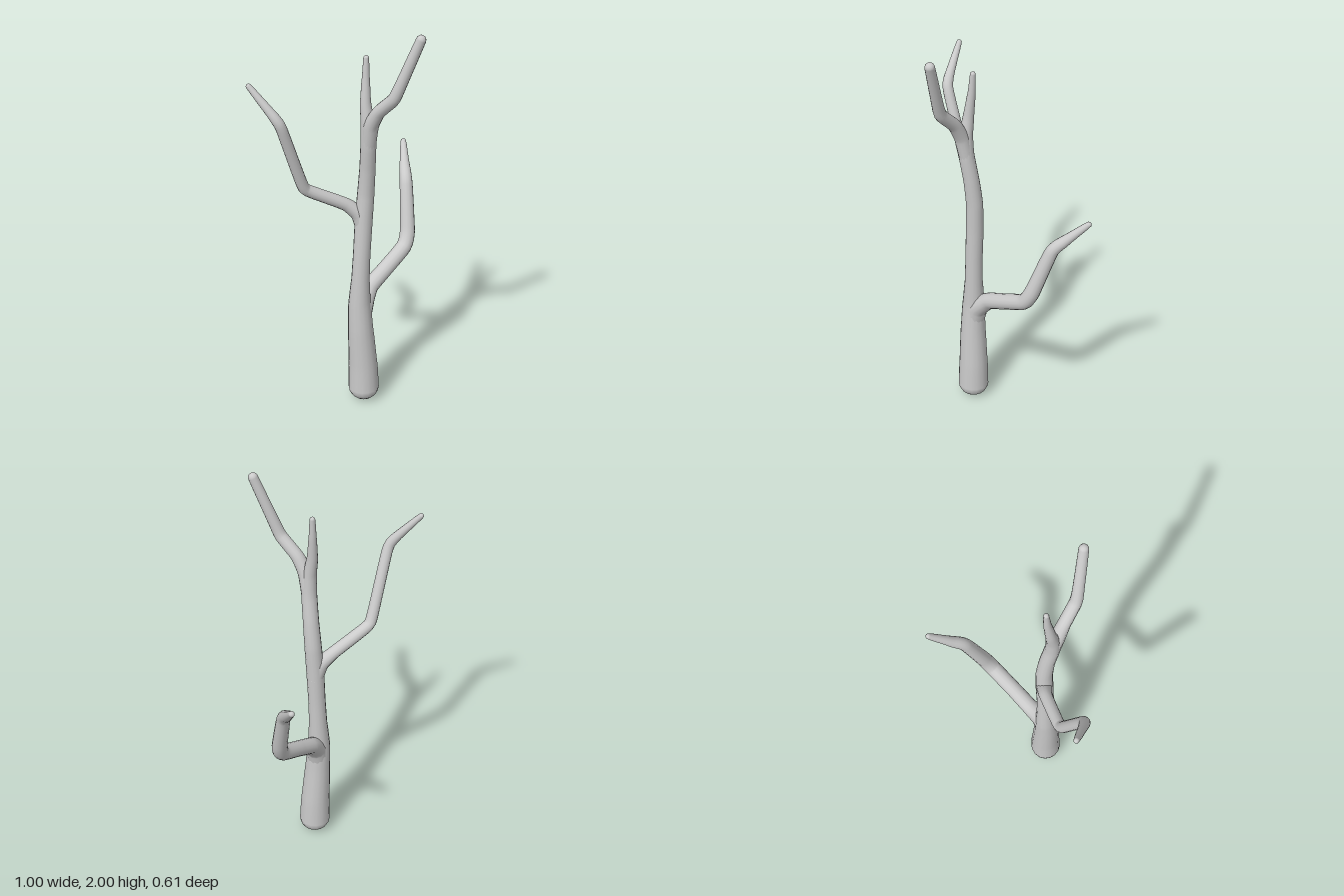
import * as THREE from 'three';

const material = new THREE.MeshStandardMaterial({ color: 0xcccccc });

// Tapered limb along points of [x, y, z, radius], with a rounded tip
function limb(name, points, segments, sides) {
  const group = new THREE.Group();
  group.name = name;
  const curve = new THREE.CatmullRomCurve3(
    points.map(([x, y, z]) => new THREE.Vector3(x, y, z)), false, 'catmullrom', 0.28);
  const geometry = new THREE.TubeGeometry(curve, segments, 1, sides);
  const pos = geometry.attributes.position;
  const normal = geometry.attributes.normal;
  const v = new THREE.Vector3();

  // Scale each ring to its interpolated radius
  for (let i = 0; i <= segments; i++) {
    const centre = curve.getPointAt(i / segments);
    const t = curve.getUtoTmapping(i / segments) * (points.length - 1);
    const k = Math.min(Math.floor(t), points.length - 2);
    const radius = THREE.MathUtils.lerp(points[k][3], points[k + 1][3], t - k);
    for (let j = 0; j <= sides; j++) {
      const n = i * (sides + 1) + j;
      v.fromBufferAttribute(normal, n).multiplyScalar(radius).add(centre);
      pos.setXYZ(n, v.x, v.y, v.z);
    }
  }
  const wood = new THREE.Mesh(geometry, material);
  wood.name = name + 'Wood';
  group.add(wood);

  const [x, y, z, r] = points[points.length - 1];
  const tip = new THREE.Mesh(new THREE.SphereGeometry(r, 12, 8), material);
  tip.name = name + 'Tip';
  tip.position.set(x, y, z);
  group.add(tip);
  return group;
}

export function createModel() {
  const model = new THREE.Group();
  model.name = 'bareTree';

  // Trunk, bending gently and thinning into the top twig
  model.add(limb('trunk', [
    [-0.025, 0.07, -0.008, 0.077],
    [-0.027, 0.2, -0.01, 0.073],
    [-0.037, 0.4, -0.015, 0.063],
    [-0.04, 0.55, -0.02, 0.056],
    [-0.036, 0.68, -0.018, 0.045],
    [-0.03, 0.82, -0.015, 0.042],
    [-0.02, 1.0, -0.012, 0.043],
    [-0.012, 1.15, -0.005, 0.041],
    [-0.015, 1.28, 0.01, 0.038],
    [-0.026, 1.42, 0.03, 0.037],
    [-0.03, 1.52, 0.03, 0.033],
    [-0.03, 1.62, 0.015, 0.026],
    [-0.02, 1.74, 0.005, 0.018],
    [-0.015, 1.832, 0.002, 0.013],
  ], 60, 16));

  // Rounded foot of the trunk
  const foot = new THREE.Mesh(new THREE.SphereGeometry(0.077, 16, 10), material);
  foot.name = 'trunkFoot';
  foot.scale.y = 0.9;
  foot.position.set(-0.025, 0.07, -0.008);
  model.add(foot);

  // Branches start inside the trunk and flare at the join
  model.add(limb('lowerLeftBranch', [
    [-0.04, 0.44, -0.018, 0.052],
    [-0.012, 0.54, -0.025, 0.053],
    [0.05, 0.603, -0.045, 0.041],
    [0.16, 0.66, -0.056, 0.039],
    [0.295, 0.73, -0.072, 0.039],
    [0.335, 0.8, -0.09, 0.038],
    [0.385, 1.03, -0.16, 0.032],
    [0.42, 1.09, -0.21, 0.027],
    [0.483, 1.18, -0.293, 0.014],
  ], 48, 14));

  model.add(limb('middleRightBranch', [
    [-0.018, 0.96, -0.012, 0.04],
    [-0.038, 1.04, -0.03, 0.038],
    [-0.09, 1.095, -0.065, 0.031],
    [-0.25, 1.188, -0.135, 0.029],
    [-0.285, 1.23, -0.142, 0.028],
    [-0.4, 1.54, -0.133, 0.026],
    [-0.425, 1.6, -0.15, 0.025],
    [-0.486, 1.738, -0.257, 0.013],
  ], 48, 14));

  model.add(limb('upperFrontBranch', [
    [-0.025, 1.4, 0.028, 0.035],
    [-0.03, 1.52, 0.055, 0.036],
    [-0.024, 1.6, 0.1, 0.031],
    [-0.008, 1.68, 0.18, 0.03],
    [0.002, 1.73, 0.203, 0.028],
    [0.06, 1.977, 0.284, 0.023],
  ], 36, 14));

  return model;
}
